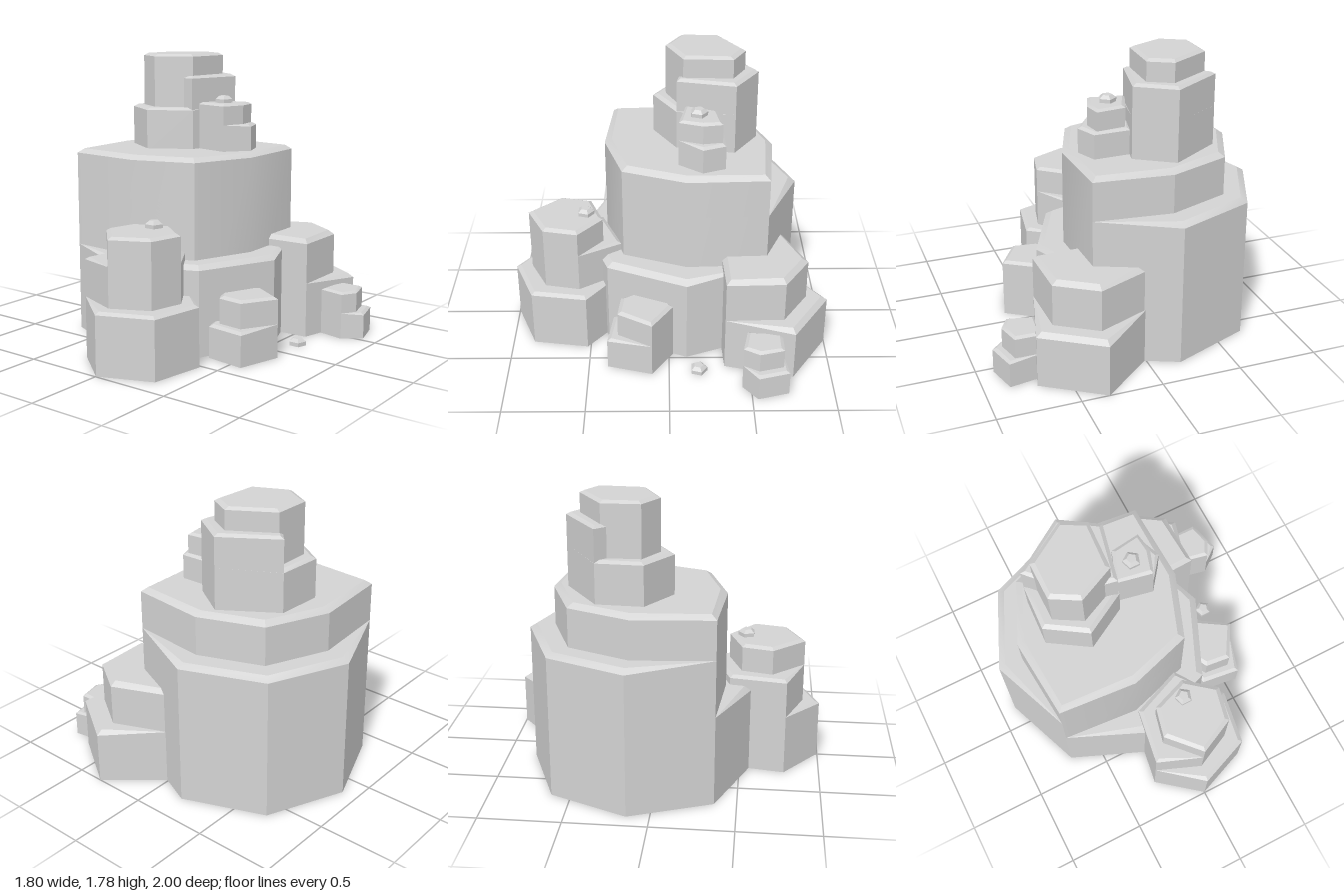
import * as THREE from 'three';
import { toCreasedNormals } from 'three/addons/utils/BufferGeometryUtils.js';

const stone = new THREE.MeshStandardMaterial({ color: 0xd3d3d3 });
stone.name = 'stone grey';

// Convex prism with a chamfered top; corners shared with the next tier stay sharp.
function tierGeometry(points, y0, y1, inset, drop, next) {
  const pts = points.map(([x, z]) => new THREE.Vector2(x, z));
  if (THREE.ShapeUtils.area(pts) > 0) pts.reverse();
  const n = pts.length;
  const c = pts.reduce((s, p) => s.add(p), new THREE.Vector2()).divideScalar(n);
  const bottom = [], rim = [], top = [];
  for (const p of pts) {
    const shared = next && next.some(([x, z]) => x === p.x && z === p.y);
    const q = shared ? p : p.clone().add(c.clone().sub(p).setLength(inset));
    bottom.push([p.x, y0, p.y]);
    rim.push([p.x, shared ? y1 : y1 - drop, p.y]);
    top.push([q.x, y1, q.y]);
  }
  const pos = [];
  const tri = (...corners) => corners.forEach((v) => pos.push(...v));
  for (let i = 0; i < n; i++) {
    const j = (i + 1) % n;
    for (const [a, b] of [[bottom, rim], [rim, top]]) {
      tri(a[i], a[j], b[j]);
      tri(a[i], b[j], b[i]);
    }
    tri([c.x, y1, c.y], top[i], top[j]);
    tri([c.x, y0, c.y], bottom[j], bottom[i]);
  }
  const geo = new THREE.BufferGeometry();
  geo.setAttribute('position', new THREE.Float32BufferAttribute(pos, 3));
  return toCreasedNormals(geo, 0.42);
}

// A rock is a set of nested tiers, listed from the lowest and widest up.
function makeRock(name, y0, inset, drop, tiers) {
  const rock = new THREE.Group();
  rock.name = name;
  tiers.forEach(([height, points], i) => {
    const next = tiers[i + 1] && tiers[i + 1][1];
    const mesh = new THREE.Mesh(tierGeometry(points, y0, height, inset, drop, next), stone);
    mesh.name = `${name}Tier${i + 1}`;
    rock.add(mesh);
  });
  return rock;
}

function makePebble(name, x, y, z) {
  const ring = [];
  for (let i = 0; i < 5; i++) {
    const a = (i / 5) * Math.PI * 2;
    ring.push([x + 0.055 * Math.sin(a), z - 0.055 * Math.cos(a)]);
  }
  return makeRock(name, y, 0.024, 0.02, [[y + 0.045, ring]]);
}

export function createModel() {
  const model = new THREE.Group();
  model.name = 'rockFormation';

  // Large central rock
  const mainBack = [[-0.705, 0.365], [-0.9, -0.14], [-0.69, -0.62], [-0.19, -0.82], [0.295, -0.61]];
  const mainFront = [[0.315, -0.11], [0.17, 0.285], [-0.22, 0.405]];
  model.add(makeRock('mainRock', 0, 0.045, 0.027, [
    [0.565, [...mainBack, [0.493, -0.11], [0.28, 0.385], [-0.21, 0.57]]],
    [0.92, [...mainBack, ...mainFront]],
    [1.19, [[-0.705, 0.365], [-0.745, -0.13], [-0.58, -0.51], [-0.19, -0.66], [0.295, -0.61], ...mainFront]],
  ]));

  // Stepped peak on the central rock
  model.add(makeRock('peakRock', 1.17, 0.03, 0.015, [
    [1.45, [[-0.575, -0.345], [-0.25, -0.56], [-0.02, -0.41], [-0.095, -0.05], [-0.35, 0.095], [-0.59, -0.06]]],
    [1.65, [[-0.574, -0.345], [-0.25, -0.56], [-0.02, -0.41], [-0.1, -0.05], [-0.35, -0.1]]],
    [1.785, [[-0.515, -0.315], [-0.255, -0.475], [-0.11, -0.395], [-0.125, -0.09], [-0.35, 0.015], [-0.515, -0.08]]],
  ]));

  // Small rock beside the peak
  model.add(makeRock('ledgeRock', 1.17, 0.025, 0.013, [
    [1.355, [[0.19, -0.345], [0.245, -0.205], [0.135, -0.06], [-0.09, -0.105], [-0.04, -0.335]]],
    [1.485, [[0.165, -0.325], [0.185, -0.205], [0.135, -0.06], [-0.09, -0.105], [-0.02, -0.3]]],
  ]));

  // Front rock
  const frontBack = [[0.11, 0.3], [-0.215, 0.43], [-0.27, 0.78]];
  const frontSide = [[0.01, 0.89], [0.24, 0.78], [0.285, 0.565]];
  model.add(makeRock('frontRock', 0, 0.03, 0.016, [
    [0.38, [...frontBack, [0, 0.995], [0.33, 0.865], [0.383, 0.52]]],
    [0.625, [...frontBack, ...frontSide]],
    [0.798, [[0.1, 0.415], [-0.13, 0.5], [-0.175, 0.69], ...frontSide]],
  ]));

  // Back left rock
  const backInner = [[0.585, -0.345], [0.12, -0.325], [0, -0.725]];
  model.add(makeRock('backRock', 0, 0.04, 0.027, [
    [0.35, [...backInner, [0.33, -1], [0.693, -0.765]]],
    [0.635, [...backInner, [0.33, -0.865], [0.575, -0.705]]],
  ]));

  // Outlying small rock
  const outerInner = [[0.785, -0.445], [0.62, -0.48], [0.64, -0.69]];
  model.add(makeRock('outerRock', 0, 0.025, 0.012, [
    [0.165, [...outerInner, [0.845, -0.725], [0.898, -0.535]]],
    [0.3, [...outerInner, [0.8, -0.69], [0.84, -0.54]]],
  ]));

  // Low rock on the left side
  const sideInner = [[0.25, 0.09], [0.46, -0.025], [0.66, 0.105]];
  model.add(makeRock('sideRock', 0, 0.028, 0.015, [
    [0.21, [...sideInner, [0.583, 0.383], [0.33, 0.35]]],
    [0.38, [...sideInner, [0.535, 0.318], [0.37, 0.3]]],
  ]));

  // Pebbles
  model.add(makePebble('upperPebble', 0.052, 1.483, -0.183));
  model.add(makePebble('frontPebble', 0.052, 0.796, 0.523));
  model.add(makePebble('groundPebble', 0.625, 0, -0.183));
  return model;
}
